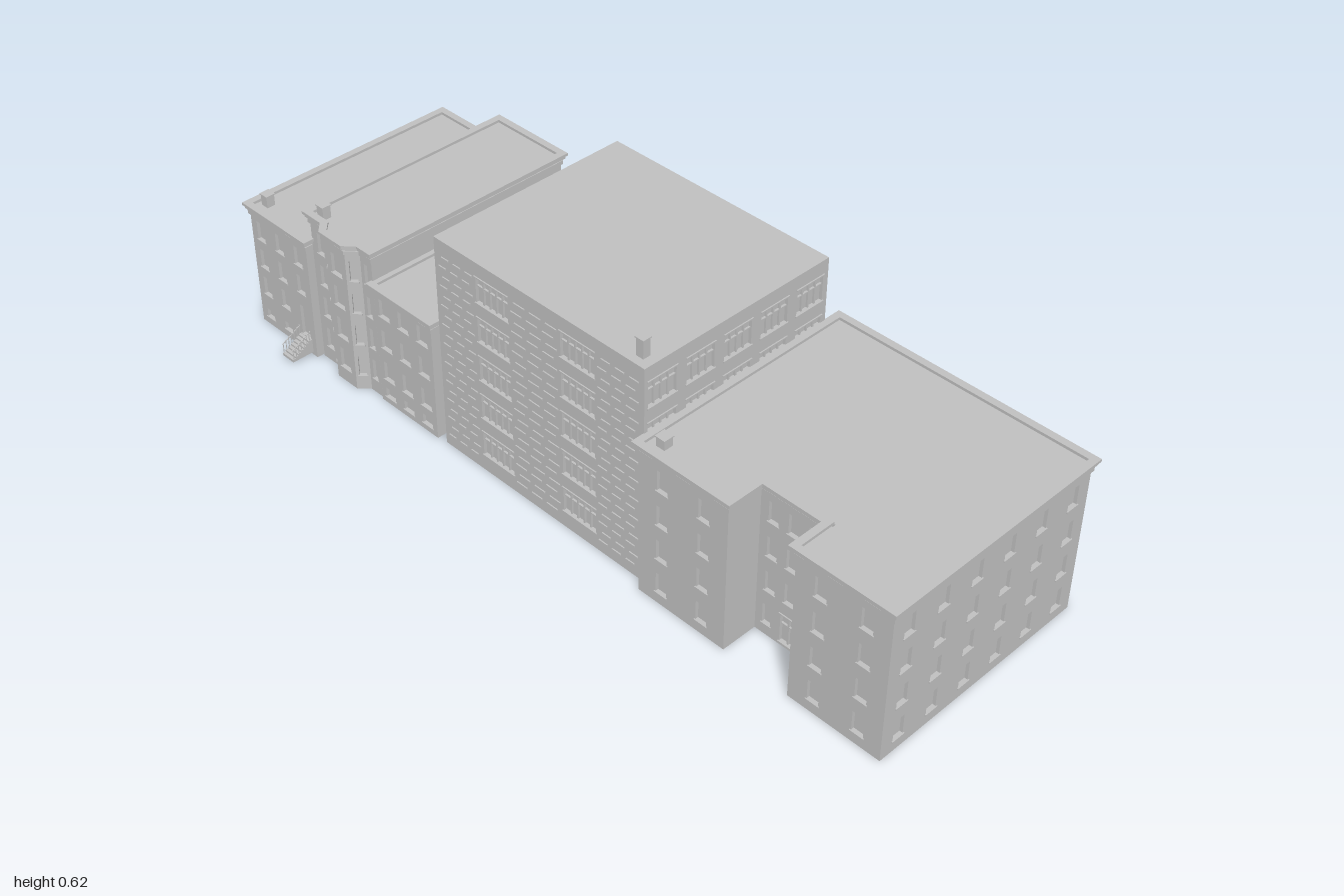
import * as THREE from 'three';
import { mergeGeometries } from 'three/addons/utils/BufferGeometryUtils.js';

const stone = new THREE.MeshStandardMaterial({ color: 0xc0c0c0 });
stone.name = 'grey stone';
const T = 0.008; // depth of the window recesses

// Plans are counter-clockwise lists of [x, -z]
const rect = (x0, x1, zBack, zFront) => [[x0, -zFront], [x1, -zFront], [x1, -zBack], [x0, -zBack]];

// Plan moved outwards by d (inwards when negative) with mitred corners
function offset(plan, d) {
  const n = plan.length;
  const normal = (a, b) => {
    const l = Math.hypot(b[0] - a[0], b[1] - a[1]);
    return [(b[1] - a[1]) / l, (a[0] - b[0]) / l];
  };
  return plan.map((p, i) => {
    const m = normal(plan[(i + n - 1) % n], p), k = normal(p, plan[(i + 1) % n]);
    const s = d / (1 + m[0] * k[0] + m[1] * k[1]);
    return [p[0] + (m[0] + k[0]) * s, p[1] + (m[1] + k[1]) * s];
  });
}

function add(parent, name, geometry) {
  const mesh = new THREE.Mesh(geometry, stone);
  mesh.name = name;
  parent.add(mesh);
  return mesh;
}

function box(x0, x1, y0, y1, z0, z1) {
  return new THREE.BoxGeometry(x1 - x0, y1 - y0, z1 - z0)
    .translate((x0 + x1) / 2, (y0 + y1) / 2, (z0 + z1) / 2);
}

const toVectors = (pts) => pts.map(([x, y]) => new THREE.Vector2(x, y));

// Horizontal slab over a plan, optionally with an opening
function slab(plan, y0, y1, hole) {
  const shape = new THREE.Shape(toVectors(plan));
  if (hole) shape.holes.push(new THREE.Path(toVectors(hole)));
  return new THREE.ExtrudeGeometry(shape, { depth: y1 - y0, bevelEnabled: false })
    .rotateX(-Math.PI / 2).translate(0, y0, 0);
}

// n evenly spaced window centres along a wall
const spread = (n, len) => Array.from({ length: n }, (_, i) => (i + 0.5) * len / n);
// Windows at every crossing of centres us and sill heights ys
const grid = (us, ys, w, h, panes = 1) => us.flatMap((u) => ys.map((y) => ({ u, y, w, h, panes })));

// One wall with recessed windows, mullions, sills and lintels
function facade(parent, a, b, height, windows, blocks = []) {
  const dx = b[0] - a[0], dv = b[1] - a[1], len = Math.hypot(dx, dv);
  const wall = new THREE.Group();
  wall.name = 'wall';
  wall.position.set(a[0], 0, -a[1]);
  wall.rotation.y = Math.atan2(dv, dx);
  parent.add(wall);
  const shape = new THREE.Shape(toVectors([[0, 0], [len, 0], [len, height], [0, height]]));
  const trim = [...blocks];
  for (const { u, y, w, h, panes } of windows) {
    const l = u - w / 2, r = u + w / 2;
    shape.holes.push(new THREE.Path(toVectors([[l, y], [l, y + h], [r, y + h], [r, y]])));
    trim.push(box(l - 0.003, r + 0.003, y - 0.004, y, -0.002, 0.003));
    if (panes > 1) {
      trim.push(box(l - 0.003, r + 0.003, y + h, y + h + 0.003, -0.002, 0.003));
      trim.push(box(l, r, y + h * 0.62, y + h * 0.62 + 0.003, -T, -0.003));
    }
    for (let i = 1; i < panes; i++) {
      const m = l + w * i / panes;
      trim.push(box(m - 0.002, m + 0.002, y, y + h, -T, -0.003));
    }
  }
  add(wall, 'wallPanel', new THREE.ExtrudeGeometry(shape, { depth: T, bevelEnabled: false }).translate(0, 0, -T));
  if (trim.length) add(wall, 'windowTrim', mergeGeometries(trim));
}

// A block: core, walls, roof, optional stepped cornice with parapet
function building(root, name, plan, height, cornice, walls, blocks = {}) {
  const g = new THREE.Group();
  g.name = name;
  root.add(g);
  const top = cornice ? height - 0.008 : height;
  add(g, 'core', slab(offset(plan, -T), 0, top));
  plan.forEach((p, i) => facade(g, p, plan[(i + 1) % plan.length], top, walls[i] || [], blocks[i]));
  if (cornice) {
    add(g, 'corniceBand', slab(offset(plan, 0.004), height - 0.03, height - 0.02, offset(plan, -0.004)));
    add(g, 'cornice', slab(offset(plan, 0.008), height - 0.015, height - 0.007, offset(plan, -0.004)));
    add(g, 'parapet', slab(offset(plan, 0.012), height - 0.007, height, offset(plan, -0.006)));
  }
  return g;
}

function chimney(g, x, z, size, base, top) {
  const s = size / 2;
  add(g, 'chimney', box(x - s, x + s, base, top - 0.003, z - s, z + s));
  add(g, 'chimneyCap', box(x - s - 0.002, x + s + 0.002, top - 0.003, top, z - s - 0.002, z + s + 0.002));
}

export function createModel() {
  const root = new THREE.Group();
  root.name = 'cityBlock';

  // Low corner building with a basement
  const rows3 = [0.09, 0.17, 0.25];
  const withBasement = (us, w) => [...grid(us, rows3, w, 0.05), ...grid(us, [0.022], w, 0.022)];
  const corner = building(root, 'cornerBuilding', rect(-0.988, -0.775, -0.322, 0.272), 0.342, true, {
    0: [...grid(spread(3, 0.213), [0.17, 0.25], 0.028, 0.05),
      ...grid(spread(3, 0.213).slice(0, 2), [0.09], 0.028, 0.05),
      ...grid(spread(3, 0.213).slice(0, 2), [0.022], 0.028, 0.022),
      { u: 0.178, y: 0.046, w: 0.03, h: 0.085, panes: 1 }],
    2: withBasement(spread(3, 0.213), 0.028),
    3: withBasement(spread(6, 0.594), 0.03),
  });
  chimney(corner, -0.959, 0.238, 0.022, 0.32, 0.366);

  // Entrance steps with railings
  const steps = new THREE.Group();
  steps.name = 'entranceSteps';
  root.add(steps);
  const n = 7, run = 0.058 / n;
  for (let i = 0; i < n; i++) {
    add(steps, 'step', box(-0.83, -0.79, 0.008, 0.015 + i * 0.005, 0.272, 0.332 - i * run));
  }
  for (const x of [-0.829, -0.791]) {
    const rail = add(steps, 'handrail', new THREE.BoxGeometry(0.002, 0.002, 0.064));
    rail.position.set(x, 0.055, 0.303);
    rail.rotation.x = Math.atan2(0.03, 0.056);
    for (let i = 0; i < n; i++) {
      const z = 0.329 - i * run, y = 0.015 + i * 0.005;
      add(steps, 'baluster', box(x - 0.0007, x + 0.0007, y, y + 0.027, z - 0.0007, z + 0.0007));
    }
  }

  // Tall narrow building with a faceted bay
  const bayPlan = [[-0.77, -0.255], [-0.71, -0.255], [-0.685, -0.279], [-0.615, -0.279], [-0.59, -0.255],
    [-0.55, -0.255], [-0.55, 0.322], [-0.77, 0.322]];
  const rows4 = [0.04, 0.13, 0.22, 0.31];
  const bay = building(root, 'bayBuilding', bayPlan, 0.415, true, {
    0: grid([0.032], rows4, 0.022, 0.055),
    1: grid([0.0173], rows4, 0.018, 0.055),
    2: grid([0.035], rows4, 0.035, 0.055),
    3: grid([0.0173], rows4, 0.018, 0.055),
    4: grid([0.02], rows4, 0.016, 0.055),
    6: grid(spread(3, 0.22), rows4, 0.028, 0.055),
  });
  chimney(bay, -0.736, 0.238, 0.022, 0.39, 0.442);

  // Low infill building with a paved yard behind
  const infillRows = [0.07, 0.16, 0.25];
  const infillCols = spread(3, 0.198);
  const infillWindows = [...grid(infillCols, infillRows, 0.034, 0.05), ...grid(infillCols, [0.018], 0.034, 0.025)];
  const infill = building(root, 'infillBuilding', rect(-0.543, -0.345, -0.225, 0.26), 0.332, true, {
    0: infillWindows, 2: infillWindows,
  });
  chimney(infill, -0.371, 0.184, 0.016, 0.31, 0.358);
  add(infill, 'rearYard', box(-0.55, -0.341, 0, 0.01, -0.325, -0.225));
  for (let i = 0; i < 4; i++) {
    add(infill, 'rearStep', box(-0.53, -0.49, 0.01, 0.018 + i * 0.008, -0.27 + i * 0.01, -0.225));
  }

  // Tall central block with wide multi-pane windows
  const floors = [0.045, 0.15, 0.255, 0.36, 0.465];
  const sideCols = [0.05, 0.159, 0.268, 0.377, 0.486];
  const W = 0.635, D = 0.541;
  // Staggered projecting courses between the front windows
  const courses = [];
  for (const [l, r] of [[0.012, 0.125], [0.24, 0.385], [0.5, 0.623]]) {
    for (let i = 0; i < 20; i++) {
      const y = 0.03 + i * 0.026, w = (r - l) / 3;
      for (let k = 0; k < 3; k++) {
        const s = l + k * w + (i % 2 ? 0.012 : 0.002);
        courses.push(box(s, s + w - 0.015, y, y + 0.004, -0.002, 0.003));
      }
    }
  }
  const tall = building(root, 'centralBlock', rect(-0.32, 0.315, -0.286, 0.255), 0.568, false, {
    0: grid([0.182, 0.442], floors, 0.1, 0.065, 5),
    1: grid(sideCols, floors, 0.08, 0.065, 4),
    2: [...grid([0.075, W - 0.075], floors, 0.095, 0.065, 4), ...grid([W / 2], floors.slice(1), 0.095, 0.065, 4),
      ...grid([0.195, W - 0.195], floors, 0.02, 0.065, 2),
      { u: W / 2, y: 0.008, w: 0.045, h: 0.075, panes: 2 }],
    3: grid(sideCols.map((u) => D - u), floors, 0.08, 0.065, 4),
  }, { 0: courses });
  chimney(tall, 0.281, 0.225, 0.02, 0.56, 0.615);
  add(tall, 'rearCanopy', box(-0.037, 0.033, 0.095, 0.101, -0.302, -0.284));

  // Wide right-hand building with an entrance court in its front
  const courtPlan = [[0.325, -0.278], [0.57, -0.278], [0.57, -0.185], [0.745, -0.185], [0.745, -0.278],
    [0.985, -0.278], [0.985, 0.322], [0.325, 0.322]];
  const rows = [0.03, 0.122, 0.215, 0.308];
  const court = building(root, 'courtBuilding', courtPlan, 0.405, true, {
    0: grid([0.065, 0.18], rows, 0.03, 0.052),
    2: [...grid([0.035, 0.0875, 0.14], rows.slice(1), 0.026, 0.052), ...grid([0.03, 0.145], [0.03], 0.022, 0.052),
      { u: 0.0875, y: 0.01, w: 0.04, h: 0.075, panes: 2 }],
    4: grid([0.065, 0.18], rows, 0.03, 0.052),
    5: grid([0.05, 0.15, 0.25, 0.35, 0.45, 0.55], rows, 0.03, 0.052),
    6: grid(spread(6, 0.66), rows, 0.03, 0.052),
  });
  chimney(court, 0.362, 0.245, 0.024, 0.38, 0.423);

  return root;
}
